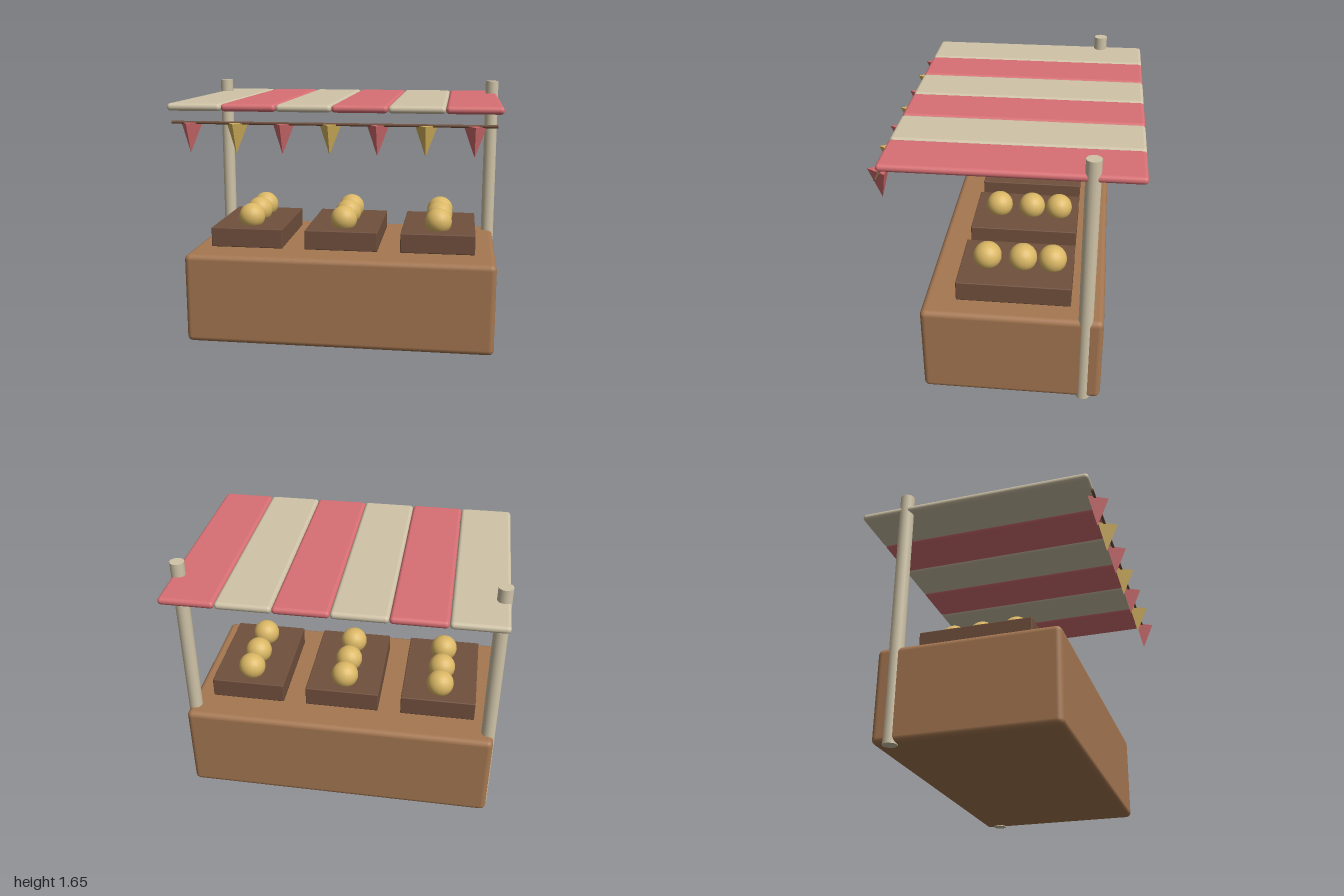
import * as THREE from 'three';
import { RoundedBoxGeometry } from 'three/addons/geometries/RoundedBoxGeometry.js';

export function createModel() {
  const model = new THREE.Group();
  model.name = 'marketStall';

  const material = (name, color, flatShading = false) => {
    const m = new THREE.MeshStandardMaterial({ color, flatShading });
    m.name = name;
    return m;
  };
  const wood = material('wood', 0xa57751);
  const darkWood = material('darkWood', 0x71503d);
  const cream = material('cream', 0xd0c4a8);
  const red = material('red', 0xd87074);
  const gold = material('gold', 0xdab765);
  const rope = material('rope', 0x71503d);
  const flagRed = material('flagRed', 0xd06a6c, true);
  const flagGold = material('flagGold', 0xd4b25c, true);

  const add = (name, geometry, mat, x, y, z) => {
    const mesh = new THREE.Mesh(geometry, mat);
    mesh.name = name;
    mesh.position.set(x, y, z);
    model.add(mesh);
    return mesh;
  };

  // Counter block
  add('counter', new RoundedBoxGeometry(1.98, 0.585, 1.1, 3, 0.035), wood, 0, 0.2975, -0.045);

  // Two rear posts, rising through the awning
  const postGeometry = new THREE.CylinderGeometry(0.044, 0.044, 1.655, 16);
  for (const side of [-1, 1]) add('post', postGeometry, cream, side * 0.956, 0.8275, -0.488);

  // Awning of six padded strips in alternating colours
  const stripGeometry = new RoundedBoxGeometry(0.33, 0.045, 1.464, 4, 0.022);
  for (let i = 0; i < 6; i++) {
    add('awningStrip', stripGeometry, i % 2 ? red : cream, (i - 2.5) * 0.331 - 0.002, 1.548, -0.046);
  }

  // Rope with three-sided hanging pennants
  const ropeGeometry = new THREE.CylinderGeometry(0.009, 0.009, 1.914, 8);
  add('rope', ropeGeometry, rope, 0, 1.461, 0.7).rotation.z = Math.PI / 2;
  const pennantGeometry = new THREE.ConeGeometry(0.076, 0.18, 3).rotateZ(Math.PI);
  for (let i = 0; i < 7; i++) {
    add('pennant', pennantGeometry, i % 2 ? flagGold : flagRed, (i - 3) * 0.279 - 0.008, 1.371, 0.701);
  }

  // Crates, each with a row of three round fruits
  const crateGeometry = new RoundedBoxGeometry(0.476, 0.128, 0.697, 2, 0.006);
  const fruitGeometry = new THREE.SphereGeometry(0.088, 20, 14);
  for (const x of [-0.625, -0.002, 0.621]) {
    add('crate', crateGeometry, darkWood, x, 0.664, -0.045);
    for (const z of [0.138, -0.082, -0.265]) add('fruit', fruitGeometry, gold, x - 0.002, 0.777, z);
  }

  return model;
}
